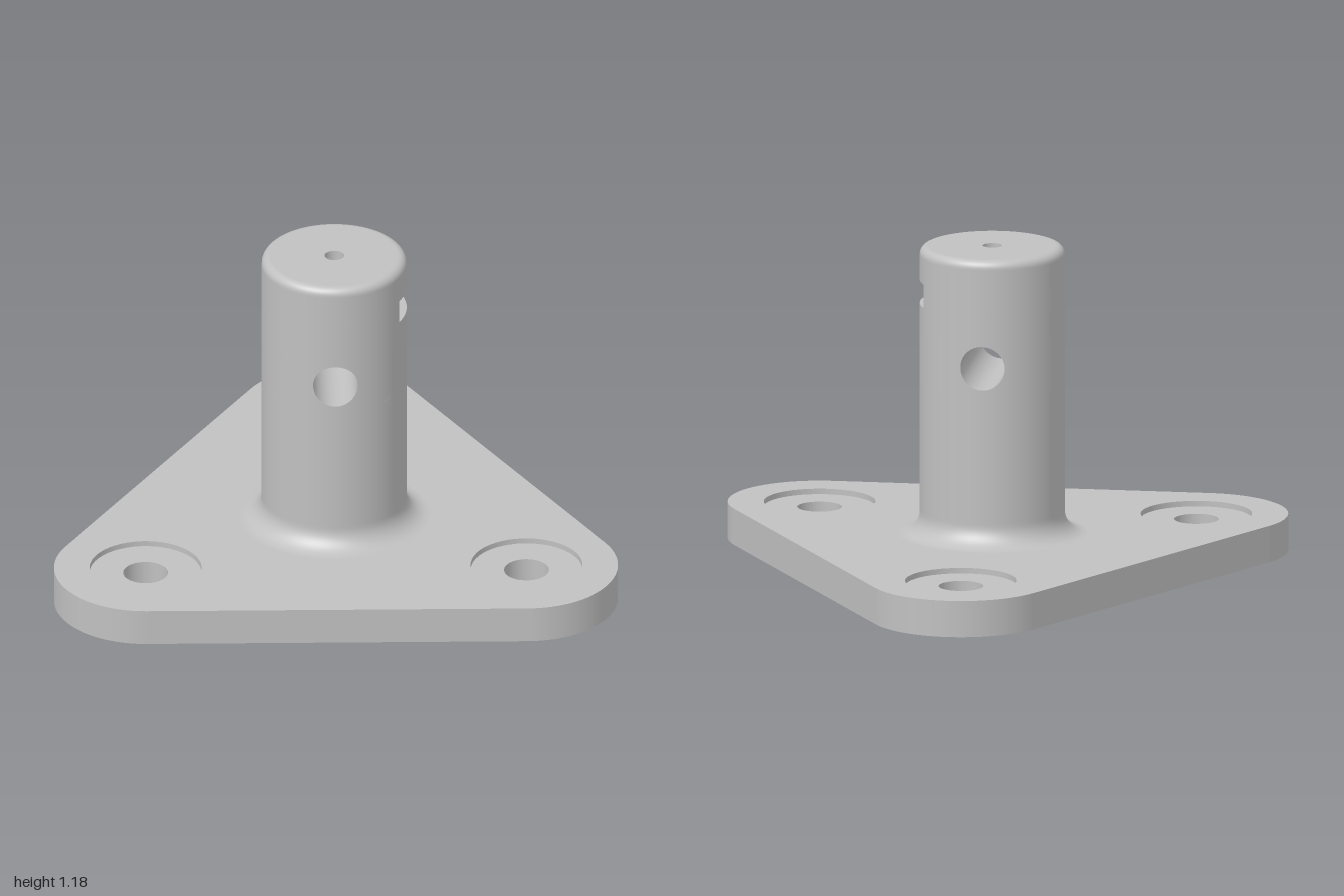
import * as THREE from 'three';

const D = Math.PI / 180;
const CX = -0.068, CZ = -0.135;           // post axis
const T = 0.133, R = 0.26, TOP = 1.185;   // plate thickness, post radius, post top
const ARM = 0.787, CORNER = 0.329;        // plate corner distance and radius
const BOLT = 0.08, SINK = 0.2, SINK_Y = T - 0.02;
const CORNERS = [-10, 110, 230];          // azimuths measured from +z towards +x
const HOLE_Y = 0.79, HOLE_R = 0.08, HOLE_AZ = 50;
const SLOT_AZ = 140, SLOT_Y0 = 0.975, SLOT_Y1 = 1.06, SLOT_W = 0.117;
const SEG = 96;

const steel = new THREE.MeshStandardMaterial({ color: 0xc0c0c0 });
steel.name = 'steelGrey';

function add(parent, name, geometry) {
  const mesh = new THREE.Mesh(geometry, steel);
  mesh.name = name;
  parent.add(mesh);
  return mesh;
}

// Grid surface; f(i, j) gives [x, y, z, nx, ny, nz]
function grid(nu, nv, f) {
  const pos = [], nor = [], idx = [];
  for (let i = 0; i <= nu; i++) {
    for (let j = 0; j <= nv; j++) {
      const p = f(i, j);
      pos.push(p[0], p[1], p[2]);
      nor.push(p[3], p[4], p[5]);
      if (i < nu && j < nv) {
        const a = i * (nv + 1) + j, b = a + nv + 1;
        idx.push(a, b, a + 1, b + 1, a + 1, b);
      }
    }
  }
  const g = new THREE.BufferGeometry();
  g.setAttribute('position', new THREE.Float32BufferAttribute(pos, 3));
  g.setAttribute('normal', new THREE.Float32BufferAttribute(nor, 3));
  g.setIndex(idx);
  return g;
}

const lathe = (pts, seg = SEG) =>
  new THREE.LatheGeometry(pts.map(p => new THREE.Vector2(p[0], p[1])), seg);

// Open piece of the post wall between two heights and over an arc in degrees
function wall(y0, y1, start = 0, length = 360) {
  const n = Math.max(8, Math.round(SEG * length / 360));
  const g = new THREE.CylinderGeometry(R, R, y1 - y0, n, 1, true, start * D, length * D);
  return g.translate(0, (y0 + y1) / 2, 0);
}

function buildPlate() {
  const plate = new THREE.Group();
  plate.name = 'basePlate';
  const centres = CORNERS.map(a => [ARM * Math.sin(a * D), ARM * Math.cos(a * D)]);

  // Outline: three rounded corners joined by straight sides
  const outline = [];
  CORNERS.forEach((a, k) => {
    for (let s = 0; s <= 32; s++) {
      const t = (a - 60 + 120 * s / 32) * D, nx = Math.sin(t), nz = Math.cos(t);
      outline.push([centres[k][0] + CORNER * nx, centres[k][1] + CORNER * nz, nx, nz]);
    }
  });
  add(plate, 'plateEdge', grid(outline.length, 1, (i, j) => {
    const p = outline[i % outline.length];
    return [p[0], j * T, p[1], p[2], 0, p[3]];
  }));

  // Flat faces with bolt openings; sign -1 is the top, +1 the underside
  const face = (radius, sign) => {
    const shape = new THREE.Shape(outline.map(p => new THREE.Vector2(p[0], sign * p[1])));
    for (const c of centres) {
      shape.holes.push(new THREE.Path().absarc(c[0], sign * c[1], radius, 0, Math.PI * 2));
    }
    return new THREE.ShapeGeometry(shape, 24).rotateX(sign * Math.PI / 2);
  };
  add(plate, 'plateTop', face(SINK, -1)).position.y = T;
  add(plate, 'plateUnderside', face(BOLT, 1));

  // Counterbored bolt holes
  for (const c of centres) {
    const hole = new THREE.Group();
    hole.name = 'boltHole';
    hole.position.set(c[0], 0, c[1]);
    add(hole, 'counterboreWall', lathe([[SINK, T], [SINK, SINK_Y]], 48));
    add(hole, 'counterboreFloor', lathe([[SINK, SINK_Y], [BOLT, SINK_Y]], 48));
    add(hole, 'boltBore', lathe([[BOLT, SINK_Y], [BOLT, 0]], 48));
    plate.add(hole);
  }
  return plate;
}

function buildCrossHole(post) {
  const half = 24, h = 0.095, n = 64;
  // Wall patch running from a rectangle to the round opening
  const patch = grid(n, 4, (i, j) => {
    const u = i / n * Math.PI * 2, c = Math.cos(u), s = Math.sin(u);
    const k = 1 / Math.max(Math.abs(c), Math.abs(s)), v = j / 4;
    const phi = THREE.MathUtils.lerp(half * D * k * c, Math.asin(HOLE_R * c / R), v);
    const y = HOLE_Y + THREE.MathUtils.lerp(h * k * s, HOLE_R * s, v);
    return [R * Math.sin(phi), y, R * Math.cos(phi), Math.sin(phi), 0, Math.cos(phi)];
  });
  for (const az of [HOLE_AZ, HOLE_AZ + 180]) {
    add(post, 'crossHoleSurround', patch).rotation.y = az * D;
    add(post, 'postWallMiddle', wall(HOLE_Y - h, HOLE_Y + h, az + half, 180 - 2 * half));
  }
  // Bore through the post
  add(post, 'crossHoleBore', grid(n, 1, (i, j) => {
    const u = i / n * Math.PI * 2, c = Math.cos(u), s = Math.sin(u), x = HOLE_R * c;
    return [x, HOLE_Y + HOLE_R * s, (1 - 2 * j) * Math.sqrt(R * R - x * x), -c, -s, 0];
  })).rotation.y = HOLE_AZ * D;
  add(post, 'postWallUpper', wall(HOLE_Y + h, SLOT_Y0));
  return HOLE_Y - h;
}

function buildSlot(post) {
  const a = Math.asin(SLOT_W / R), depth = R * Math.cos(a);
  const h = SLOT_Y1 - SLOT_Y0, mid = (SLOT_Y0 + SLOT_Y1) / 2;
  add(post, 'postWallBesideSlot', wall(SLOT_Y0, SLOT_Y1, SLOT_AZ + a / D, 360 - 2 * a / D));

  const slot = new THREE.Group();
  slot.name = 'slotPocket';
  slot.rotation.y = SLOT_AZ * D;
  const shape = new THREE.Shape();
  shape.moveTo(-SLOT_W, 0);
  shape.lineTo(SLOT_W, 0);
  shape.absarc(0, 0, R, Math.PI / 2 - a, Math.PI / 2 + a, false);
  const flat = new THREE.ShapeGeometry(shape, 16);
  add(slot, 'slotCeiling', flat.clone().rotateX(Math.PI / 2)).position.y = SLOT_Y1;
  add(slot, 'slotFloor', flat.clone().rotateX(-Math.PI / 2).rotateY(Math.PI)).position.y = SLOT_Y0;
  add(slot, 'slotBack', new THREE.PlaneGeometry(2 * SLOT_W, h)).position.y = mid;
  for (const s of [-1, 1]) {
    const side = add(slot, 'slotSide', new THREE.PlaneGeometry(depth, h).rotateY(-s * Math.PI / 2));
    side.position.set(s * SLOT_W, mid, depth / 2);
  }
  post.add(slot);
}

function buildPost() {
  const post = new THREE.Group();
  post.name = 'post';
  const bandStart = buildCrossHole(post);
  buildSlot(post);

  // Foot fillet running into the lower shaft
  const f = 0.08, foot = [];
  for (let i = 0; i <= 12; i++) {
    const t = i / 12 * Math.PI / 2;
    foot.push([R + f - f * Math.sin(t), T + f - f * Math.cos(t)]);
  }
  foot.push([R, T + f + 0.01], [R, bandStart]);
  add(post, 'postFoot', lathe(foot));

  // Rounded upper rim
  const r = 0.03, rim = [[R, SLOT_Y1], [R, TOP - r - 0.005]];
  for (let i = 0; i <= 8; i++) {
    const t = i / 8 * Math.PI / 2;
    rim.push([R - r + r * Math.cos(t), TOP - r + r * Math.sin(t)]);
  }
  add(post, 'postRim', lathe(rim));

  // Top face with a small centre drilling
  const c = 0.035, bottom = TOP - 0.06;
  add(post, 'postTop', lathe([[R - r, TOP], [c, TOP]]));
  add(post, 'centreHoleWall', lathe([[c, TOP], [c, bottom]], 32));
  add(post, 'centreHoleTip', lathe([[c, bottom], [0, bottom - 0.02]], 32));
  return post;
}

export function createModel() {
  const model = new THREE.Group();
  model.name = 'postMount';
  model.add(buildPlate(), buildPost());
  model.children.forEach(part => part.position.set(CX, 0, CZ));
  return model;
}
